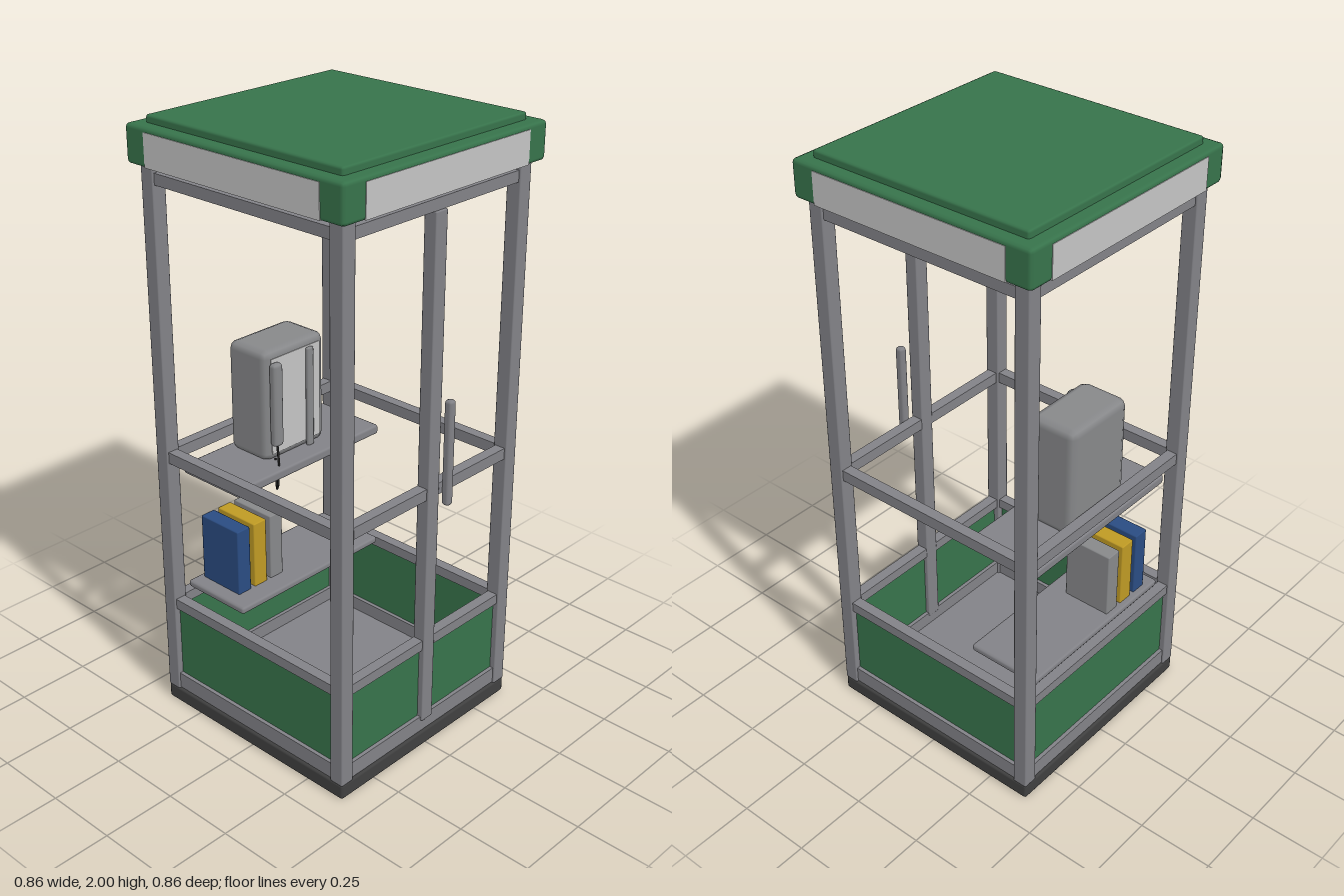
import * as THREE from 'three';
import { RoundedBoxGeometry } from 'three/addons/geometries/RoundedBoxGeometry.js';

const mat = (name, color) => {
  const m = new THREE.MeshStandardMaterial({ color });
  m.name = name;
  return m;
};

export function createModel() {
  const green = mat('green paint', 0x37734b);
  const metal = mat('grey metal', 0x828287);
  const light = mat('light panel', 0xc4c4c4);
  const dark = mat('dark base', 0x404040);
  const black = mat('black cord', 0x1c1c1c);
  const blue = mat('blue cover', 0x2a4c82);
  const yellow = mat('yellow cover', 0xbf9a24);
  const grey = mat('grey casing', 0x87888a);

  const model = new THREE.Group();
  model.name = 'phoneBooth';

  // Box given by its limits on each axis, with an optional bevel
  function box(name, m, [x0, x1], [y0, y1], [z0, z1], bevel = 0, parent = model) {
    const w = x1 - x0, h = y1 - y0, d = z1 - z0;
    const geo = bevel ? new RoundedBoxGeometry(w, h, d, 1, bevel) : new THREE.BoxGeometry(w, h, d);
    const mesh = new THREE.Mesh(geo, m);
    mesh.name = name;
    mesh.position.set((x0 + x1) / 2, (y0 + y1) / 2, (z0 + z1) / 2);
    parent.add(mesh);
    return mesh;
  }

  // Base and floor
  box('base', dark, [-0.4, 0.4], [0, 0.052], [-0.4, 0.4], 0.008);
  box('floor', metal, [-0.36, 0.36], [0.05, 0.062], [-0.36, 0.36]);

  // Corner posts
  for (const x of [-0.375, 0.375]) {
    for (const z of [-0.375, 0.375]) {
      box('cornerPost', metal, [x - 0.025, x + 0.025], [0.05, 1.87], [z - 0.025, z + 0.025], 0.004);
    }
  }

  // Four walls: rails, lower panel and light roof band
  const rails = [[0.055, 0.11], [0.365, 0.4], [0.9, 0.938], [1.8, 1.836]];
  for (let i = 0; i < 4; i++) {
    const wall = new THREE.Group();
    wall.name = 'wall';
    wall.rotation.y = i * Math.PI / 2;
    for (const y of rails) box('rail', metal, [-0.355, 0.355], y, [0.357, 0.393], 0, wall);
    box('lowerPanel', green, [-0.355, 0.355], [0.105, 0.37], [0.37, 0.38], 0, wall);
    box('roofBand', light, [-0.345, 0.345], [1.86, 1.963], [0.422, 0.43], 0, wall);
    model.add(wall);
  }

  // Door stile and handle
  box('doorStile', metal, [-0.025, 0.025], [0.095, 1.8], [0.355, 0.4], 0.004);
  box('doorHandle', metal, [0.042, 0.07], [0.86, 1.21], [0.392, 0.42], 0.01);

  // Roof with raised cap
  box('roof', green, [-0.428, 0.428], [1.857, 1.977], [-0.428, 0.428], 0.013);
  box('roofCap', green, [-0.385, 0.385], [1.965, 2], [-0.385, 0.385], 0.008);

  // Shelves
  for (const [y0, y1] of [[0.832, 0.865], [0.41, 0.434]]) {
    box('shelf', metal, [-0.32, 0.32], [y0, y1], [-0.37, -0.11], 0.009);
  }

  // Telephone with front plate and handset
  box('phoneBody', grey, [-0.133, 0.133], [0.86, 1.24], [-0.35, -0.18], 0.026);
  box('phoneFrontPlate', light, [-0.108, 0.108], [0.886, 1.214], [-0.184, -0.178]);
  box('handset', grey, [-0.12, -0.08], [0.92, 1.205], [-0.18, -0.15], 0.012);
  box('phoneBar', grey, [0.042, 0.07], [0.865, 1.21], [-0.18, -0.165], 0.006);

  // Hanging cord, a bent wire
  const bends = [[-0.1, 0.93, -0.165], [-0.118, 0.87, -0.14], [-0.143, 0.81, -0.12],
    [-0.11, 0.77, -0.16], [-0.096, 0.87, -0.178]].map((p) => new THREE.Vector3(...p));
  const path = new THREE.CurvePath();
  for (let i = 1; i < bends.length; i++) path.add(new THREE.LineCurve3(bends[i - 1], bends[i]));
  const cord = new THREE.Mesh(new THREE.TubeGeometry(path, 32, 0.004, 6), black);
  cord.name = 'cord';
  model.add(cord);

  // Directories on the lower shelf
  [blue, yellow, grey].forEach((m, i) => {
    const x = -0.27 + i * 0.0725;
    box('book', m, [x, x + 0.055], [0.432, 0.665], [-0.35, -0.18], 0.004);
  });

  return model;
}
